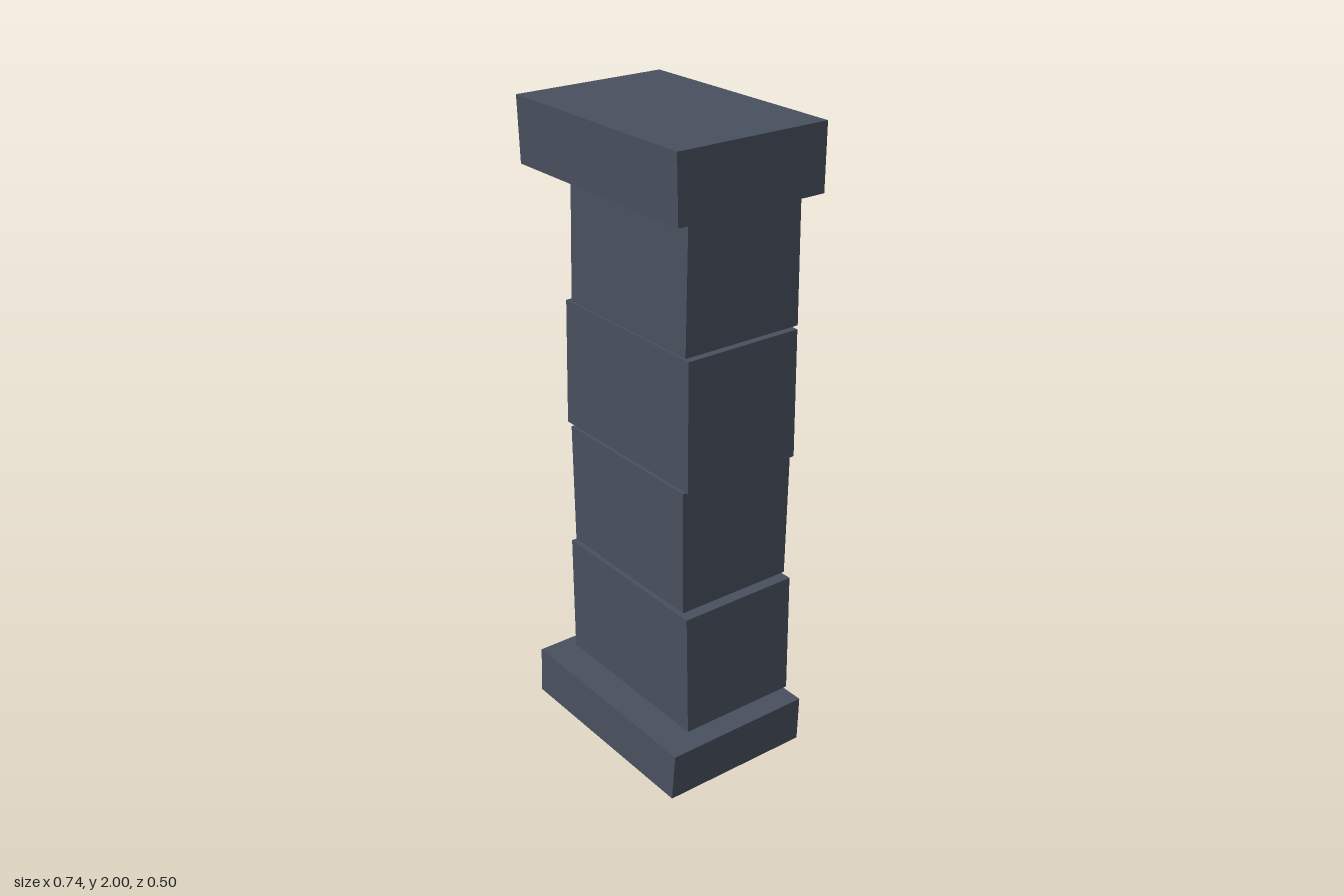
import * as THREE from 'three';

const stone = new THREE.MeshStandardMaterial({ color: 0x48505e });
stone.name = 'slateStone';

// Roughly hewn block: each end is [left x, right x, back z, front z] at its height
function hewnBlock(name, y0, y1, bottom, top) {
  const geometry = new THREE.BoxGeometry(1, 1, 1);
  const p = geometry.attributes.position;
  for (let i = 0; i < p.count; i++) {
    const upper = p.getY(i) > 0;
    const end = upper ? top : bottom;
    p.setXYZ(i, end[p.getX(i) > 0 ? 1 : 0], upper ? y1 : y0, end[p.getZ(i) > 0 ? 3 : 2]);
  }
  geometry.computeVertexNormals();
  const mesh = new THREE.Mesh(geometry, stone);
  mesh.name = name;
  return mesh;
}

export function createModel() {
  const pillar = new THREE.Group();
  pillar.name = 'stonePillar';

  // Wide plinth and cap, flush with the shaft at the back
  pillar.add(hewnBlock('base', 0, 0.152, [-0.362, 0.355, -0.246, 0.255], [-0.366, 0.36, -0.246, 0.247]));
  pillar.add(hewnBlock('cap', 1.8, 2, [-0.37, 0.365, -0.25, 0.246], [-0.37, 0.368, -0.249, 0.253]));

  // Shaft of four uneven blocks with thin open joints
  const shaft = [
    [[-0.31, 0.293, -0.249, 0.147], [-0.306, 0.291, -0.247, 0.153]],
    [[-0.291, 0.264, -0.247, 0.146], [-0.291, 0.269, -0.249, 0.152]],
    [[-0.31, 0.291, -0.244, 0.152], [-0.306, 0.286, -0.244, 0.148]],
    [[-0.268, 0.28, -0.25, 0.154], [-0.264, 0.281, -0.244, 0.148]],
  ];
  shaft.forEach(([bottom, top], i) => {
    const y = 0.161 + i * 0.41;
    pillar.add(hewnBlock(`shaftBlock${i + 1}`, y, y + 0.401, bottom, top));
  });

  return pillar;
}
